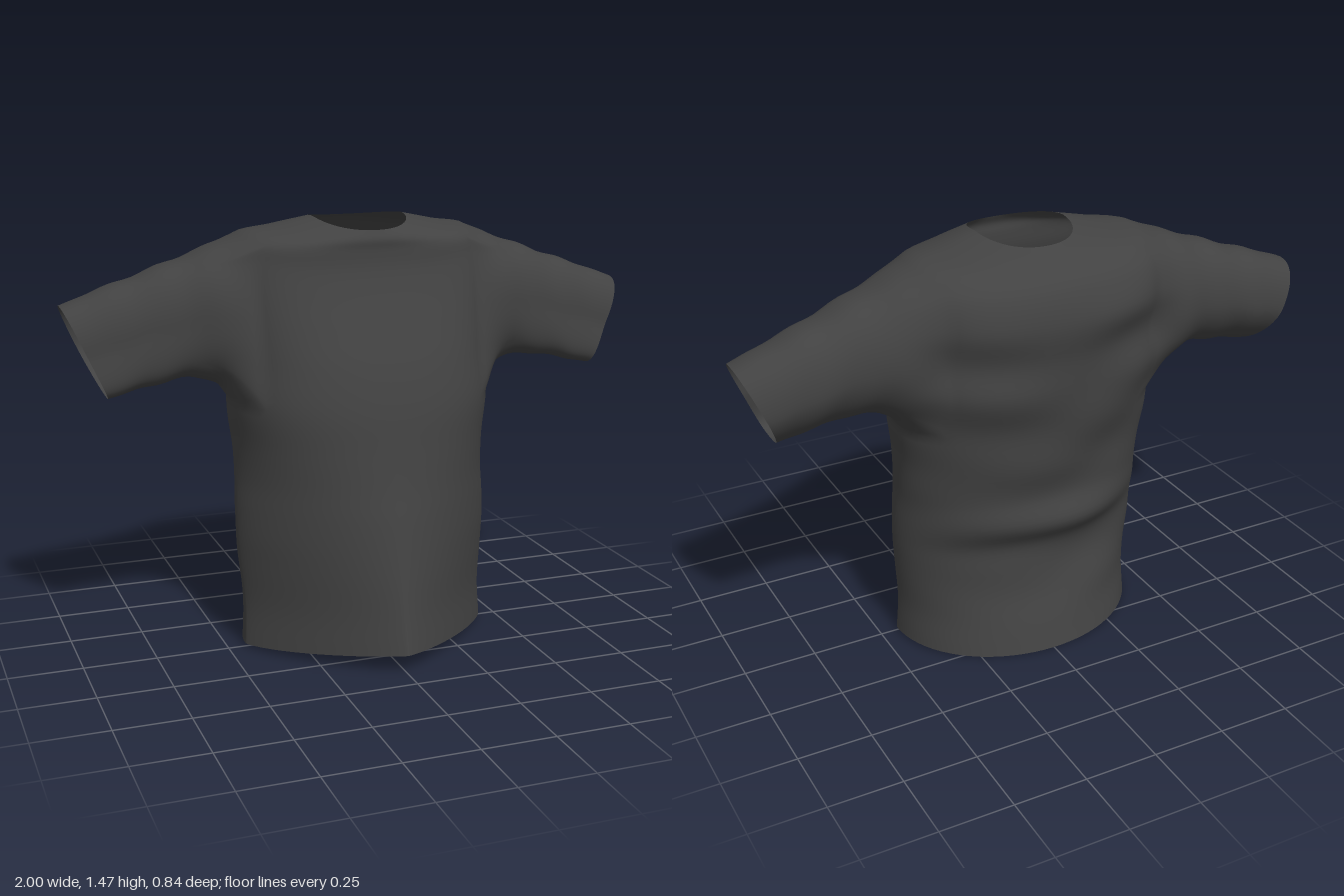
import * as THREE from 'three';

const COLS = 72;   // points around the torso
const STEPS = 5;   // sub-rows between two key rings
const ARM = { back: -8, front: 7, low: 7, high: 12 }; // armhole: columns and key rows

// Torso key rings from hem to neck:
// y at side, front, back; half width; z at front, back, widest point; roundness of front, back
const RINGS = [
  [0.015, 0.07, 0.005, 0.44, 0.42, -0.35, 0, 1.22, 2],
  [0.15, 0.19, 0.15, 0.435, 0.392, -0.315, -0.01, 1.28, 2],
  [0.3, 0.32, 0.3, 0.445, 0.366, -0.28, -0.02, 1.4, 2.1],
  [0.4, 0.42, 0.4, 0.45, 0.346, -0.285, -0.03, 1.52, 2.1],
  [0.5, 0.51, 0.5, 0.45, 0.328, -0.345, -0.05, 1.66, 2],
  [0.6, 0.6, 0.6, 0.442, 0.308, -0.33, -0.07, 1.86, 2],
  [0.72, 0.72, 0.72, 0.442, 0.288, -0.345, -0.09, 2.12, 2.1],
  [0.87, 0.86, 0.87, 0.458, 0.268, -0.37, -0.11, 2.32, 2.2],
  [1, 1, 1, 0.45, 0.232, -0.395, -0.13, 2.45, 2.4],
  [1.12, 1.12, 1.12, 0.45, 0.185, -0.39, -0.13, 2.6, 2.6],
  [1.25, 1.22, 1.24, 0.45, 0.145, -0.42, -0.13, 2.7, 2.7],
  [1.365, 1.31, 1.34, 0.44, 0.118, -0.39, -0.13, 2.7, 2.7],
  [1.418, 1.37, 1.39, 0.41, 0.113, -0.35, -0.12, 2.7, 2.5],
  [1.442, 1.405, 1.425, 0.29, 0.115, -0.315, -0.1, 2.5, 2.3],
  [1.47, 1.435, 1.45, 0.16, 0.1, -0.262, -0.08, 2.2, 2.2],
];

// Sleeve key rings: top x, y; bottom x, y; z at front, back; forward shift of the underside
const SLEEVE = [
  [0.5, 1.382, 0.5, 0.925, 0.055, -0.31, 0.02],
  [0.62, 1.338, 0.6, 0.952, 0.02, -0.283, 0.04],
  [0.76, 1.288, 0.73, 0.935, -0.005, -0.275, 0.06],
  [0.88, 1.247, 0.8, 0.92, -0.018, -0.27, 0.07],
  [1, 1.203, 0.87, 0.905, -0.025, -0.263, 0.075],
];

const power = (v, p) => Math.sign(v) * Math.abs(v) ** p;

function torsoRing([ySide, yFront, yBack, w, zFront, zBack, zMid, aFront, aBack]) {
  return Array.from({ length: COLS }, (_, i) => {
    const t = (i / COLS) * Math.PI * 2, c = Math.cos(t), s = Math.sin(t);
    const e = 2 / (s > 0 ? aFront : aBack);
    const depth = Math.abs(s) ** e;
    return new THREE.Vector3(
      w * power(c, e),
      ySide + ((s > 0 ? yFront : yBack) - ySide) * depth ** 1.4,
      zMid + ((s > 0 ? zFront : zBack) - zMid) * depth);
  });
}

// Smooth rows of points running through the key rings
function smoothRows(rings) {
  const n = (rings.length - 1) * STEPS;
  const lines = rings[0].map((_, k) => new THREE.CatmullRomCurve3(rings.map(r => r[k])).getPoints(n));
  return Array.from({ length: n + 1 }, (_, j) => lines.map(l => l[j]));
}

// Closed skin around the rows, leaving out quads where skip(column, row) is true
function skin(rows, skip = () => false) {
  const n = rows[0].length, index = [];
  for (let j = 0; j < rows.length - 1; j++) {
    for (let i = 0; i < n; i++) {
      if (skip(i, j)) continue;
      const a = j * n + i, b = j * n + (i + 1) % n, c = a + n, d = b + n;
      index.push(a, c, b, b, c, d);
    }
  }
  const g = new THREE.BufferGeometry().setFromPoints(rows.flat());
  g.setIndex(index);
  g.computeVertexNormals();
  return g;
}

// Shares normals where two parts meet, so the shading runs on across the seam
function blendSeams(geometries) {
  const sums = new Map(), p = new THREE.Vector3(), v = new THREE.Vector3();
  const visit = fn => geometries.forEach(({ attributes: { position, normal } }) => {
    for (let i = 0; i < position.count; i++) {
      p.fromBufferAttribute(position, i);
      fn([p.x, p.y, p.z].map(q => q.toFixed(5)).join(), normal, i);
    }
  });
  visit((key, normal, i) => {
    if (!sums.has(key)) sums.set(key, new THREE.Vector3());
    sums.get(key).add(v.fromBufferAttribute(normal, i));
  });
  visit((key, normal, i) => {
    v.copy(sums.get(key)).normalize();
    normal.setXYZ(i, v.x, v.y, v.z);
  });
}

// Soft slanted cloth folds, strongest across the back
function foldTorso(rows) {
  for (const p of rows.flat()) {
    const fade = THREE.MathUtils.smoothstep(p.y, 0.03, 0.25) * (1 - THREE.MathUtils.smoothstep(p.y, 1.15, 1.38));
    const back = THREE.MathUtils.smoothstep(-p.z, -0.05, 0.25);
    const wave = Math.sin(17 * p.y + 6 * p.x + 1.5 * Math.sin(5 * p.x + 1)) + 0.5 * Math.sin(29 * p.y - 9 * p.x);
    const fold = 0.016 * fade * back * wave;
    p.x *= 1 + fold * 0.6;
    p.z *= 1 + fold;
  }
}

// Points around one armhole, in loft order for a sleeve on that side
function armholeLoop(rows, side) {
  const lo = ARM.low * STEPS, hi = ARM.high * STEPS, loop = [];
  const at = (i, j) => {
    const col = side > 0 ? i : COLS / 2 - i;
    loop.push(rows[j][(col + COLS) % COLS].clone());
  };
  for (let i = ARM.back; i < ARM.front; i++) at(i, lo);
  for (let j = lo; j < hi; j++) at(ARM.front, j);
  for (let i = ARM.front; i > ARM.back; i--) at(i, hi);
  for (let j = hi; j > lo; j--) at(ARM.back, j);
  return side > 0 ? loop : loop.reverse();
}

function sleeveGeometry(rows, side) {
  const loop = armholeLoop(rows, side);
  const angles = loop.map(p => Math.atan2((p.y - 1.15) / 0.27, (p.z + 0.12) / 0.21));
  const rings = SLEEVE.map(([tx, ty, bx, by, zf, zb, shift]) => angles.map(t => {
    const up = power(Math.sin(t), 0.9), out = power(Math.cos(t), 0.9);
    return new THREE.Vector3(
      side * ((tx + bx) / 2 + up * (tx - bx) / 2),
      (ty + by) / 2 + up * (ty - by) / 2,
      (zf + zb) / 2 + out * (zf - zb) / 2 + shift * Math.max(0, -up) ** 1.5);
  }));
  const sleeve = smoothRows([loop, ...rings]);
  // small creases that vanish at the armhole and the cuff
  sleeve.forEach((row, j) => {
    const fade = Math.sin(Math.PI * j / (sleeve.length - 1));
    row.forEach((p, k) => { p.y += 0.004 * fade * Math.sin(38 * Math.abs(p.x) + 2 * Math.sin(angles[k]) + side); });
  });
  return skin(sleeve);
}

export function createModel() {
  const shirt = new THREE.Group();
  shirt.name = 'shirt';
  const cloth = new THREE.MeshStandardMaterial({ color: 0x424242, side: THREE.DoubleSide });
  cloth.name = 'charcoal cloth';

  // Torso with two open armholes, sleeves grown from their edges
  const rows = smoothRows(RINGS.map(torsoRing));
  foldTorso(rows);
  const inArm = i => {
    const c = i > COLS / 2 ? i - COLS : i;
    return c >= ARM.back && c < ARM.front;
  };
  const parts = {
    torso: skin(rows, (i, j) => j >= ARM.low * STEPS && j < ARM.high * STEPS
      && (inArm(i) || inArm((COLS / 2 - 1 - i + COLS) % COLS))),
    leftSleeve: sleeveGeometry(rows, 1),
    rightSleeve: sleeveGeometry(rows, -1),
  };
  blendSeams(Object.values(parts));

  for (const [name, geometry] of Object.entries(parts)) {
    const mesh = new THREE.Mesh(geometry, cloth);
    mesh.name = name;
    shirt.add(mesh);
  }
  return shirt;
}
